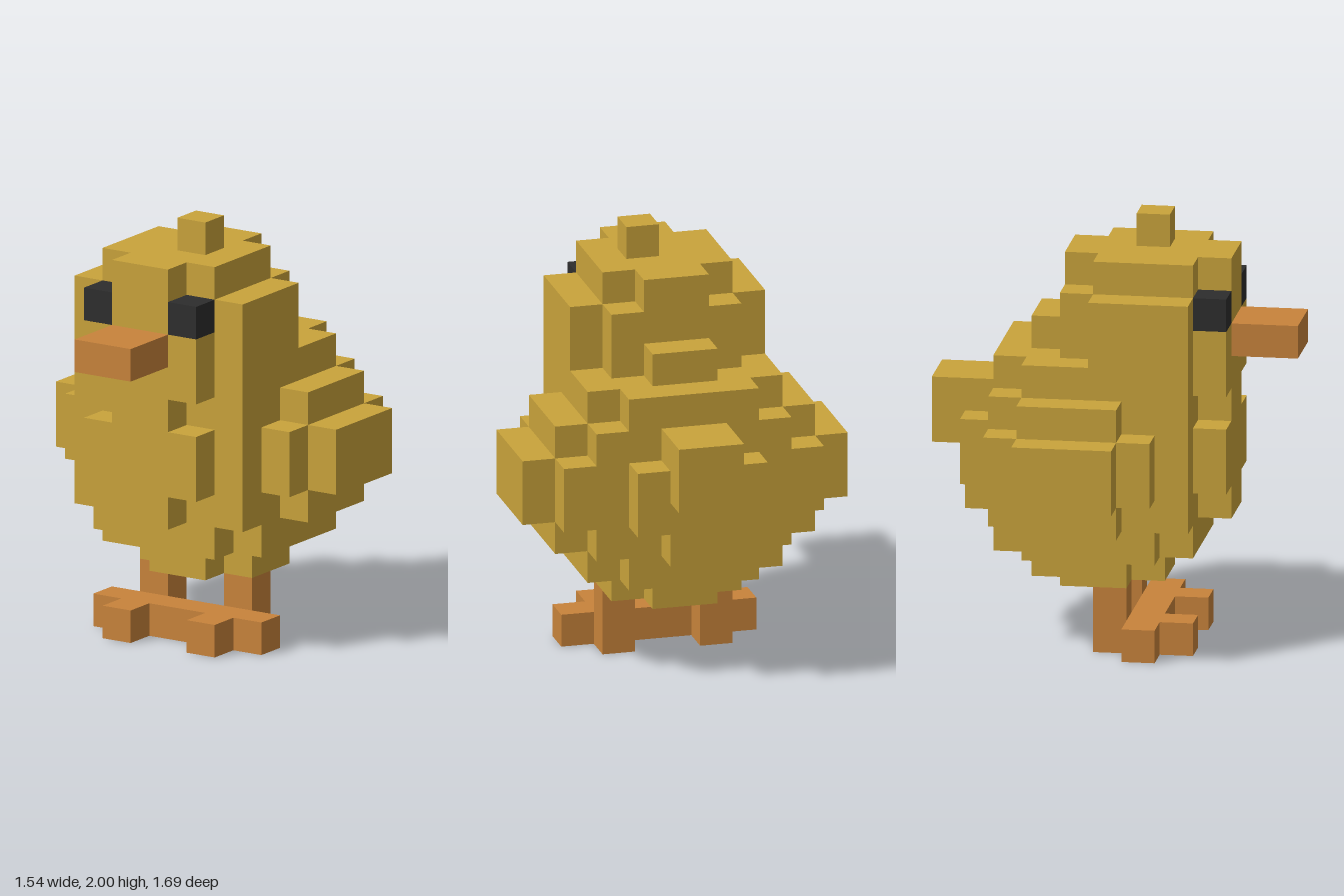
import * as THREE from 'three';

const U = 2 / 13; // edge of one block

export function createModel() {
  const yellow = new THREE.MeshStandardMaterial({ color: 0xc9a33b });
  const orange = new THREE.MeshStandardMaterial({ color: 0xc8833b });
  const black = new THREE.MeshStandardMaterial({ color: 0x2d2d2d });
  yellow.name = 'feather yellow';
  orange.name = 'beak orange';
  black.name = 'eye black';

  const model = new THREE.Group();
  model.name = 'blockChick';

  // Box between two corners, measured in blocks
  function block(parent, name, material, [x0, x1], [y0, y1], [z0, z1]) {
    const geometry = new THREE.BoxGeometry((x1 - x0) * U, (y1 - y0) * U, (z1 - z0) * U);
    const mesh = new THREE.Mesh(geometry, material);
    mesh.position.set((x0 + x1) * U / 2, (y0 + y1) * U / 2, (z0 + z1) * U / 2);
    mesh.name = name;
    parent.add(mesh);
  }
  // Box centred on x = 0
  const centred = (parent, name, material, w, y, z) =>
    block(parent, name, material, [-w, w], y, z);
  // Two mirrored boxes
  function pair(parent, name, material, [x0, x1], y, z) {
    block(parent, name + 'Left', material, [x0, x1], y, z);
    block(parent, name + 'Right', material, [-x1, -x0], y, z);
  }
  function part(name) {
    const group = new THREE.Group();
    group.name = name;
    model.add(group);
    return group;
  }

  // Body, layer by layer from the bottom
  const body = part('body');
  centred(body, 'underside', yellow, 1, [2, 3], [-2.5, 1.5]);
  pair(body, 'undersideEdge', yellow, [1, 2], [2, 3], [-1.5, 0.5]);
  centred(body, 'lowerBody', yellow, 2, [3, 4], [-3.5, 2.5]);
  pair(body, 'lowerBodyEdge', yellow, [2, 3], [3, 4], [-2.5, 1.5]);
  centred(body, 'midBody', yellow, 3, [4, 8], [-3.5, 2.5]);
  centred(body, 'upperBody', yellow, 2, [8, 9], [-3.5, 2.5]);
  pair(body, 'upperBodyEdge', yellow, [2, 3], [8, 9], [-2.5, 2.5]);

  // Rounded plates on the belly and rump
  for (const [name, z] of [['belly', [2.5, 3.5]], ['rump', [-4.5, -3.5]]]) {
    centred(body, name, yellow, 1, [4, 8], z);
    pair(body, name + 'Edge', yellow, [1, 2], [5, 7], z);
  }
  centred(body, 'tail', yellow, 1, [6, 8], [-5.5, -4.5]);

  // Head
  const head = part('head');
  centred(head, 'skull', yellow, 2, [9, 11], [-1.5, 2.5]);
  pair(head, 'cheek', yellow, [2, 3], [9, 11], [-0.5, 2.5]);
  centred(head, 'nape', yellow, 1, [9, 10], [-2.5, -1.5]);
  centred(head, 'face', yellow, 2, [8, 10], [2.5, 3.5]);
  centred(head, 'forehead', yellow, 1, [10, 11], [2.5, 3.5]);
  centred(head, 'crown', yellow, 1, [11, 12], [-1.5, 3.5]);
  pair(head, 'crownEdge', yellow, [1, 2], [11, 12], [-0.5, 2.5]);
  block(head, 'tuft', yellow, [0, 1], [12, 13], [0.5, 1.5]);
  pair(head, 'eye', black, [1, 2], [10, 11], [2.5, 3.5]);
  centred(head, 'beak', orange, 1, [9, 10], [3.5, 5.5]);

  // Wings
  const wings = part('wings');
  pair(wings, 'wing', yellow, [3, 4], [4, 8], [-2.5, 0.5]);
  pair(wings, 'wingFrontEdge', yellow, [3, 4], [5, 7], [0.5, 1.5]);
  pair(wings, 'wingBackEdge', yellow, [3, 4], [5, 7], [-3.5, -2.5]);
  pair(wings, 'wingOuter', yellow, [4, 5], [5, 7], [-2.5, 0.5]);

  // Legs and joined feet
  const legs = part('legs');
  pair(legs, 'leg', orange, [1, 2], [0, 2], [-0.5, 0.5]);
  centred(legs, 'feet', orange, 3, [0, 1], [0.5, 1.5]);
  pair(legs, 'toe', orange, [1, 2], [0, 1], [1.5, 2.5]);

  return model;
}
